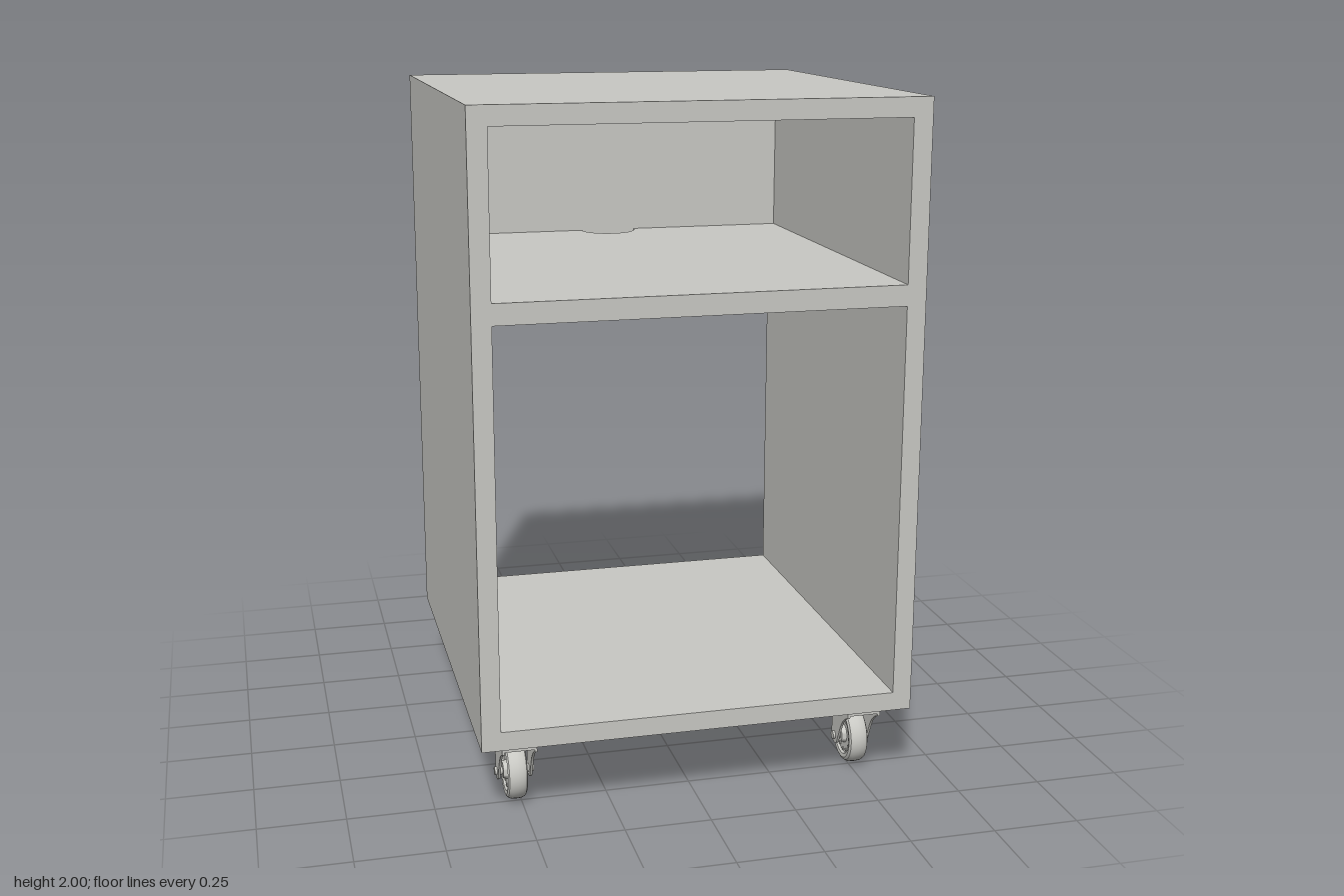
import * as THREE from 'three';
import { toCreasedNormals } from 'three/addons/utils/BufferGeometryUtils.js';

const W = 0.632, T = 0.055, BACK = -0.62, FRONT = 0.645;
const D = FRONT - BACK, MID = (FRONT + BACK) / 2, IN = W - T;

export function createModel() {
  const model = new THREE.Group();
  model.name = 'rollingCabinet';
  const paint = new THREE.MeshStandardMaterial({ color: 0xc8c8c3 });
  paint.name = 'paleGrey';

  const add = (parent, name, geometry, x = 0, y = 0, z = 0) => {
    const mesh = new THREE.Mesh(geometry, paint);
    mesh.name = name;
    mesh.position.set(x, y, z);
    parent.add(mesh);
    return mesh;
  };
  const box = (w, h, d) => new THREE.BoxGeometry(w, h, d);
  const disc = (r, h, n = 32) => new THREE.CylinderGeometry(r, r, h, n);

  // Panels
  add(model, 'topPanel', box(2 * W, T, D), 0, 2 - T / 2, MID);
  add(model, 'basePanel', box(2 * W, T, D), 0, 0.23 + T / 2, MID);
  for (const s of [1, -1]) {
    add(model, s > 0 ? 'leftSide' : 'rightSide', box(T, 1.66, D), s * (W - T / 2), 1.115, MID);
  }
  add(model, 'backPanel', box(2 * IN, 0.525, T), 0, 1.6825, BACK + T / 2);

  // Shelf with a half-round cable notch against the back panel
  const rear = BACK + T;
  const shelf = new THREE.Shape();
  shelf.moveTo(-IN, -rear);
  shelf.lineTo(-IN, -FRONT);
  shelf.lineTo(IN, -FRONT);
  shelf.lineTo(IN, -rear);
  shelf.lineTo(0.088, -rear);
  shelf.absarc(0, -rear, 0.088, 0, -Math.PI, true);
  shelf.closePath();
  const shelfGeo = new THREE.ExtrudeGeometry(shelf, { depth: 0.06, bevelEnabled: false, curveSegments: 24 });
  shelfGeo.rotateX(-Math.PI / 2);
  add(model, 'shelf', shelfGeo, 0, 1.43, 0);

  // Screw heads under the base
  for (const x of [-0.605, 0.605]) {
    for (const z of [-0.57, 0.015, 0.6]) add(model, 'screw', disc(0.014, 0.008, 16), x, 0.228, z);
  }

  // Wheel profile, turned about the axle
  const half = [[0.001, 0.034], [0.024, 0.034], [0.028, 0.02], [0.058, 0.02],
    [0.061, 0.027], [0.072, 0.029], [0.08, 0.025], [0.085, 0.015]];
  const profile = [...half.map(([r, a]) => new THREE.Vector2(r, -a)), new THREE.Vector2(0.086, 0),
    ...half.slice().reverse().map(([r, a]) => new THREE.Vector2(r, a))];
  const wheelGeo = toCreasedNormals(new THREE.LatheGeometry(profile, 40), 0.6);
  wheelGeo.rotateZ(Math.PI / 2);

  // Fork cheek, drawn in z and y
  const cheek = new THREE.Shape();
  cheek.moveTo(0.05, 0.2);
  cheek.lineTo(0.05, 0.185);
  cheek.quadraticCurveTo(0.005, 0.17, -0.018, 0.12);
  cheek.lineTo(-0.039, 0.076);
  cheek.absarc(-0.062, 0.086, 0.025, -0.41, -Math.PI, true);
  cheek.lineTo(-0.08, 0.2);
  cheek.closePath();
  const cheekGeo = new THREE.ExtrudeGeometry(cheek, { depth: 0.007, bevelEnabled: false });
  cheekGeo.translate(0, 0, -0.0035);
  cheekGeo.rotateY(-Math.PI / 2);

  const makeCaster = (x, z) => {
    const caster = new THREE.Group();
    caster.name = 'caster';
    caster.position.set(x, 0, z);
    add(caster, 'mountPlate', box(0.16, 0.01, 0.14), 0, 0.225, 0);
    add(caster, 'swivelRace', new THREE.CylinderGeometry(0.055, 0.046, 0.022, 32), 0, 0.21, 0);
    add(caster, 'forkCrown', box(0.1, 0.008, 0.13), 0, 0.196, -0.015);
    for (const s of [1, -1]) {
      add(caster, 'forkCheek', cheekGeo, s * 0.0465, 0, 0);
      for (const t of [1, -1]) add(caster, 'plateBolt', disc(0.011, 0.008, 12), s * 0.065, 0.217, t * 0.053);
    }
    add(caster, 'axle', disc(0.012, 0.114, 16), 0, 0.086, -0.062).rotation.z = Math.PI / 2;
    add(caster, 'wheel', wheelGeo, 0, 0.088, -0.062);
    // Small studs around the hub, reaching through both faces
    for (let i = 0; i < 12; i++) {
      const a = (i / 12) * Math.PI * 2;
      const stud = add(caster, 'hubStud', disc(0.005, 0.046, 8), 0,
        0.088 + 0.05 * Math.sin(a), -0.062 + 0.05 * Math.cos(a));
      stud.rotation.z = Math.PI / 2;
    }
    model.add(caster);
  };
  for (const x of [-0.515, 0.515]) for (const z of [0.53, -0.497]) makeCaster(x, z);

  return model;
}
